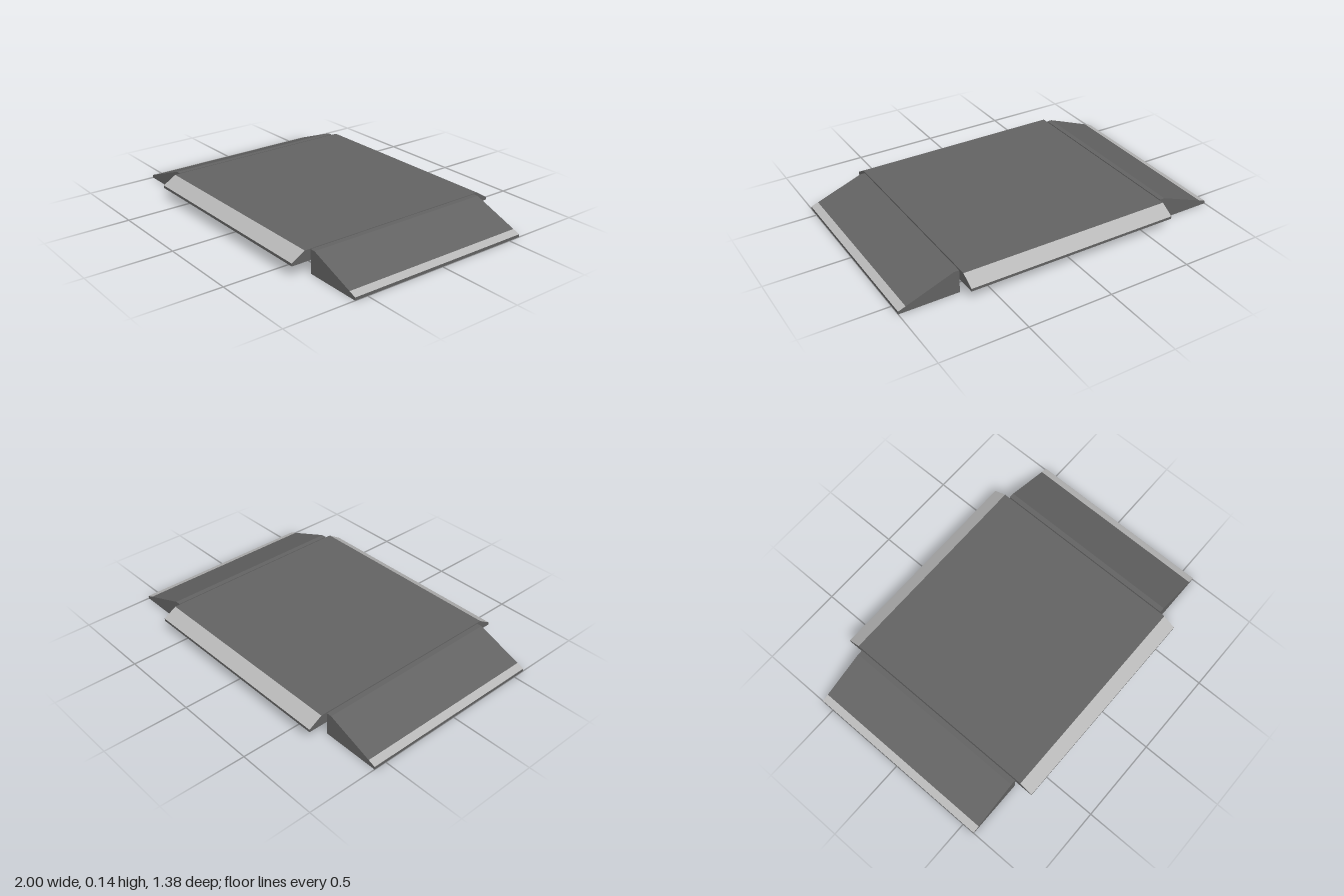
import * as THREE from 'three';

const paint = (name, color) => {
  const m = new THREE.MeshStandardMaterial({ color });
  m.name = name;
  return m;
};

// Prism along z from a convex counter-clockwise profile.
// Each profile point is [x, y, material index of the edge that starts there].
function prism(profile, halfDepth) {
  const pos = [];
  const geo = new THREE.BufferGeometry();
  const n = profile.length;
  const at = (p, side) => [p[0], p[1], side * halfDepth];
  const face = (mat, ...corners) => {
    const start = pos.length / 3;
    for (let i = 1; i < corners.length - 1; i++) {
      pos.push(...corners[0], ...corners[i], ...corners[i + 1]);
    }
    geo.addGroup(start, pos.length / 3 - start, mat);
  };
  // Long faces
  profile.forEach((a, i) => {
    const b = profile[(i + 1) % n];
    face(a[2], at(a, 1), at(a, -1), at(b, -1), at(b, 1));
  });
  // End caps
  face(0, ...profile.map((p) => at(p, 1)));
  face(0, ...profile.map((p) => at(p, -1)).reverse());
  geo.setAttribute('position', new THREE.Float32BufferAttribute(pos, 3));
  geo.computeVertexNormals();
  return geo;
}

export function createModel() {
  const model = new THREE.Group();
  model.name = 'rampPlatform';
  const DARK = 0, LIGHT = 1, BROWN = 2;
  const materials = [
    paint('darkGrey', 0x636363),
    paint('lightGrey', 0xb8b8b8),
    paint('brown', 0xa87f3a),
  ];

  // Raised deck with light bevels at front and back
  const deck = new THREE.Mesh(prism([
    [-0.69, 0.073, DARK], [0.69, 0.073, DARK], [0.69, 0.089, LIGHT],
    [0.61, 0.137, DARK], [-0.61, 0.137, LIGHT], [-0.69, 0.089, DARK],
  ], 0.644), materials);
  deck.name = 'deck';
  deck.rotation.y = -Math.PI / 2;
  model.add(deck);

  // Side ramps with a light edge strip on top and a brown strip beneath
  const rampGeometry = prism([
    [0.65, 0, DARK], [0.957, 0, BROWN], [1, 0, DARK], [1, 0.017, LIGHT],
    [0.957, 0.033, DARK], [0.681, 0.137, DARK], [0.65, 0.137, DARK],
  ], 0.577);
  ['leftRamp', 'rightRamp'].forEach((name, i) => {
    const ramp = new THREE.Mesh(rampGeometry, materials);
    ramp.name = name;
    ramp.rotation.y = i * Math.PI;
    model.add(ramp);
  });

  return model;
}
